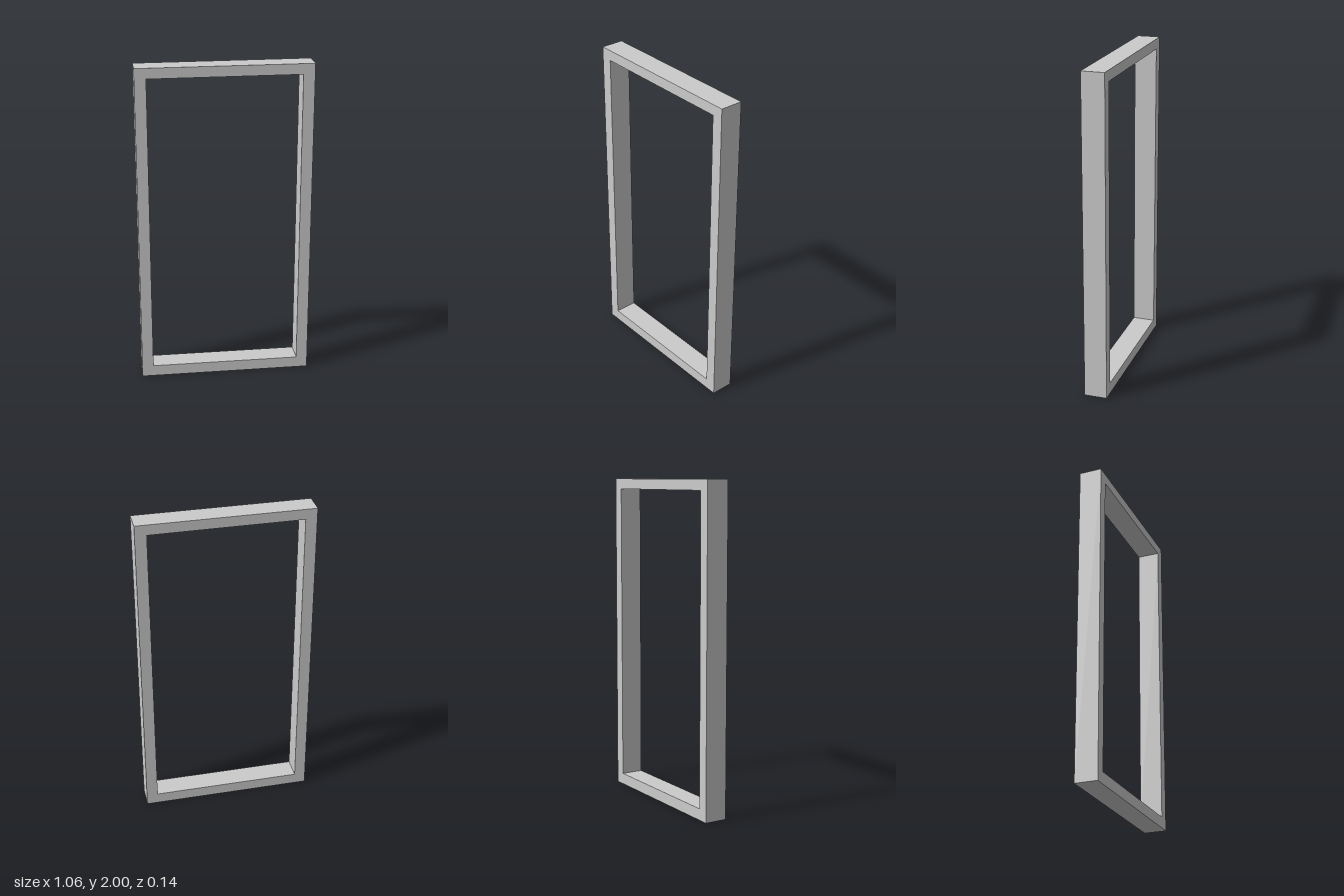
import * as THREE from 'three';

// Trace a rectangle on a shape or path
function rect(path, x, y0, y1) {
  path.moveTo(-x, y0);
  path.lineTo(x, y0);
  path.lineTo(x, y1);
  path.lineTo(-x, y1);
  path.closePath();
  return path;
}

export function createModel() {
  const group = new THREE.Group();
  group.name = 'openFrame';
  const depth = 0.14;

  // Rectangular frame with one tall opening
  const outline = rect(new THREE.Shape(), 0.532, 0, 2);
  outline.holes.push(rect(new THREE.Path(), 0.462, 0.07, 1.936));
  const geometry = new THREE.ExtrudeGeometry(outline, { depth, bevelEnabled: false });
  geometry.translate(0, 0, -depth / 2);

  const frame = new THREE.Mesh(geometry, new THREE.MeshStandardMaterial({ color: 0xcccccc }));
  frame.name = 'frame';
  group.add(frame);
  return group;
}
